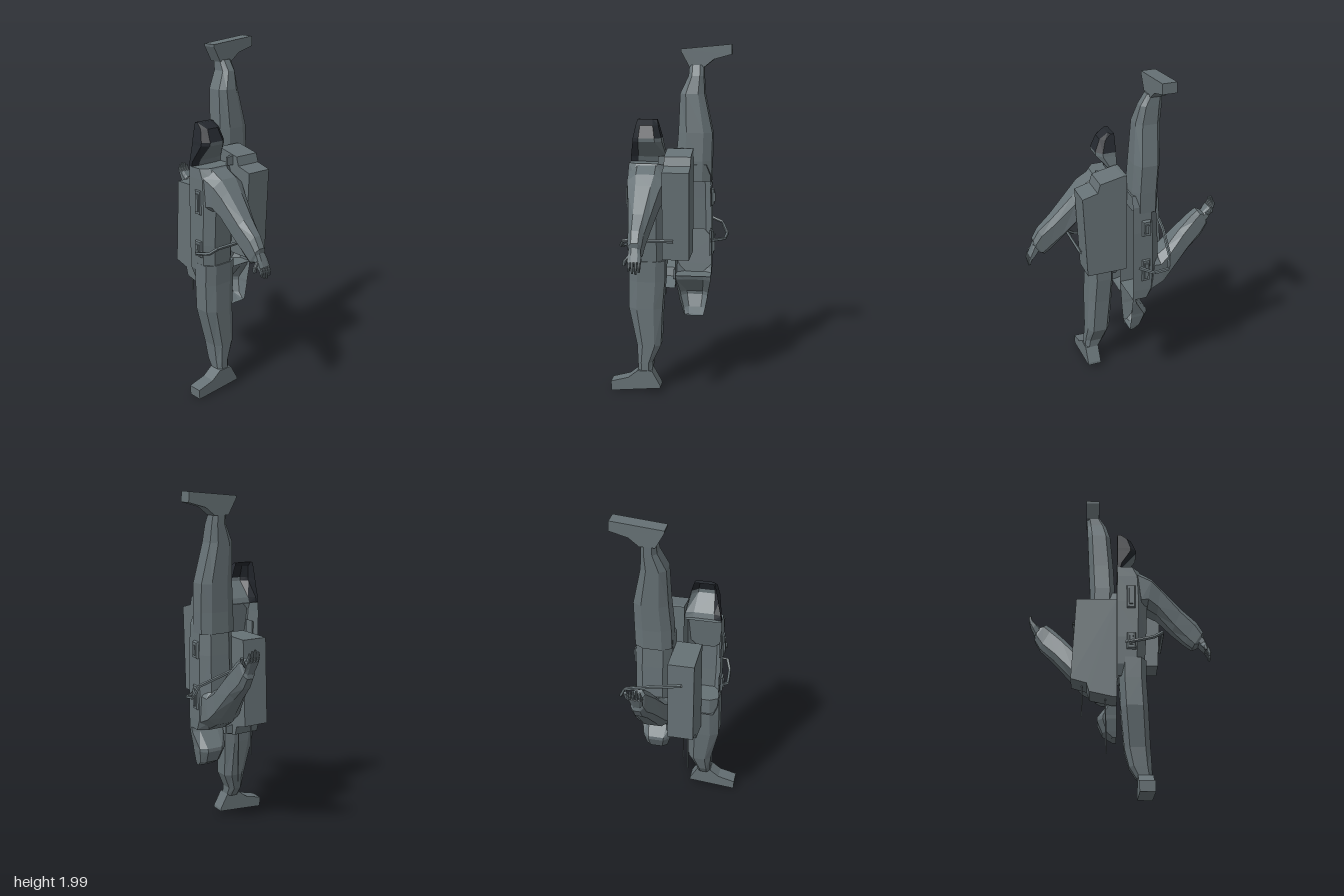
import * as THREE from 'three';

const suit = new THREE.MeshStandardMaterial({ color: 0x667175, flatShading: true, side: THREE.DoubleSide });
const dark = new THREE.MeshStandardMaterial({ color: 0x24282e, flatShading: true, side: THREE.DoubleSide });
const INSIDE = [0, 1.45, 0.12];

// Skin a list of matching rings; faces are turned outwards by their signed volume.
function loft(rings, { closed = true, caps = true } = {}) {
  const tris = [], n = rings[0].length, steps = closed ? n : n - 1;
  for (let i = 0; i + 1 < rings.length; i++) {
    for (let j = 0; j < steps; j++) {
      const k = (j + 1) % n, [a, b] = [rings[i], rings[i + 1]];
      tris.push([a[j], a[k], b[k]], [a[j], b[k], b[j]]);
    }
  }
  if (caps) {
    const first = rings[0], last = rings[rings.length - 1];
    for (let j = 1; j + 1 < n; j++) {
      tris.push([first[0], first[j + 1], first[j]], [last[0], last[j], last[j + 1]]);
    }
  }
  let volume = 0;
  for (const t of tris) {
    const [a, b, c] = t.map(p => new THREE.Vector3(p[0] - INSIDE[0], p[1] - INSIDE[1], p[2] - INSIDE[2]));
    volume += a.dot(b.cross(c));
  }
  if (volume < 0) tris.forEach(t => t.reverse());
  const g = new THREE.BufferGeometry();
  g.setAttribute('position', new THREE.Float32BufferAttribute(tris.flat(2), 3));
  g.computeVertexNormals();
  return g;
}

// Point reflection through the model's middle, keeping faces outward.
function invert(g) {
  const p = g.attributes.position;
  for (let i = 0; i < p.count; i++) p.setXYZ(i, -p.getX(i), 2 - p.getY(i), -p.getZ(i));
  for (let i = 0; i < p.count; i += 3) {
    const b = [p.getX(i + 1), p.getY(i + 1), p.getZ(i + 1)];
    p.setXYZ(i + 1, p.getX(i + 2), p.getY(i + 2), p.getZ(i + 2));
    p.setXYZ(i + 2, ...b);
  }
  g.computeVertexNormals();
  return g;
}

// Chamfered limb section between points A and B (x, y), from z0 to z1.
const OCT = [[0.2, 0], [0.8, 0], [1, 0.25], [1, 0.75], [0.8, 1], [0.2, 1], [0, 0.75], [0, 0.25]];
const limbRing = ([ax, ay, bx, by, z0, z1]) =>
  OCT.map(([s, t]) => [ax + (bx - ax) * s, ay + (by - ay) * s, z0 + (z1 - z0) * t]);

// Half body section, open at x = 0.
const halfRing = ([y, w, zb, zf]) => {
  const c = (zf - zb) * 0.22;
  return [[0, y, zb], [w * 0.7, y, zb], [w, y, zb + c], [w, y, zf - c], [w * 0.7, y, zf], [0, y, zf]];
};

const boxRings = (x0, x1, y0, y1, z0, z1, inset = 0) => [
  [[x0, y0, z0], [x1, y0, z0], [x1, y1, z0], [x0, y1, z0]],
  [[x0 + inset, y0 + inset, z1], [x1 - inset, y0 + inset, z1], [x1 - inset, y1 - inset, z1], [x0 + inset, y1 - inset, z1]],
];

function buildHalf(name, inverted) {
  const half = new THREE.Group();
  half.name = name;
  const add = (part, geometry, material = suit) => {
    const m = new THREE.Mesh(inverted ? invert(geometry) : geometry, material);
    m.name = part;
    half.add(m);
  };

  // torso, open along the cut plane
  add('torso', loft([
    [0.68, 0.06, 0.05, 0.2], [0.74, 0.15, 0.02, 0.225], [0.9, 0.16, 0.02, 0.232],
    [1.12, 0.17, 0.02, 0.234], [1.28, 0.16, 0.02, 0.234], [1.34, 0.12, 0.02, 0.232],
  ].map(halfRing), { closed: false }));

  // helmet: lower side and back, dark front and crown
  const helmet = [
    [1.34, 0.025, 0.02, 0.232], [1.37, 0.035, 0.025, 0.23], [1.46, 0.108, 0.045, 0.212],
    [1.48, 0.11, 0.048, 0.21], [1.55, 0.08, 0.068, 0.197], [1.58, 0.03, 0.078, 0.19],
  ].map(halfRing);
  const open = { closed: false, caps: false };
  const visor = inverted ? suit : dark;
  add('helmetSide', loft(helmet.slice(0, 4).map(r => r.slice(0, 4)), open));
  add('visor', loft(helmet.slice(0, 4).map(r => r.slice(3)), open), visor);
  add('helmetCrown', loft([...helmet.slice(3), helmet[5].map(p => [0, 1.58, p[2]])], open), visor);

  // leg from hip to ankle
  add('leg', loft([
    [0.012, 0.78, 0.16, 0.78, 0.02, 0.228], [0.01, 0.66, 0.16, 0.66, 0.022, 0.23],
    [0.018, 0.5, 0.168, 0.5, 0.035, 0.23], [0.038, 0.28, 0.178, 0.28, 0.042, 0.182],
    [0.062, 0.18, 0.183, 0.18, 0.088, 0.176], [0.1, 0.12, 0.185, 0.12, 0.09, 0.172],
  ].map(limbRing)));

  // boot
  const boot = [[0.04, 0.03], [0.33, 0.003], [0.333, 0.06], [0.23, 0.088], [0.175, 0.132], [0.09, 0.132], [0.042, 0.045]];
  add('boot', loft([0.108, 0.19].map(x => boot.map(([z, y]) => [x, y, z]))));

  // arm from shoulder to wrist
  add('arm', loft([
    [0.11, 1.34, 0.14, 1.08, 0.02, 0.23], [0.2, 1.29, 0.17, 1.1, 0.02, 0.225],
    [0.25, 1.235, 0.225, 1.065, 0.04, 0.212], [0.37, 1.1, 0.31, 0.965, 0.075, 0.192],
    [0.45, 1.025, 0.38, 0.895, 0.095, 0.18], [0.485, 0.965, 0.42, 0.865, 0.1, 0.175],
    [0.482, 0.925, 0.452, 0.88, 0.11, 0.165],
  ].map(limbRing)));

  // glove with four fingers and a thumb
  add('palm', loft([
    [0.485, 0.94, 0.45, 0.89, 0.105, 0.17], [0.502, 0.9, 0.475, 0.865, 0.1, 0.172],
    [0.515, 0.87, 0.49, 0.85, 0.1, 0.172],
  ].map(limbRing)));
  for (let i = 0; i < 4; i++) {
    const z = 0.101 + i * 0.018, drop = [0.012, 0, 0.004, 0.016][i];
    add('finger', loft([
      [0.515, 0.87, 0.492, 0.855, z, z + 0.016], [0.524, 0.84, 0.506, 0.832, z, z + 0.015],
      [0.521, 0.803 + drop, 0.509, 0.803 + drop, z + 0.003, z + 0.013],
    ].map(limbRing)));
  }
  add('thumb', loft([
    [0.49, 0.905, 0.465, 0.885, 0.15, 0.172], [0.498, 0.875, 0.475, 0.86, 0.178, 0.2],
    [0.5, 0.845, 0.486, 0.84, 0.187, 0.203],
  ].map(limbRing)));

  // backpack with a stepped top, open along the cut plane
  const pack = [[0, 0.815], [0.235, 0.815], [0.258, 1.31], [0.17, 1.335], [0.155, 1.385], [0.02, 1.415], [0, 1.415]];
  add('backpack', loft([-0.128, 0.022].map(z => pack.map(([x, y]) => [x, y, z])), { closed: false }));
  add('shoulderStrap', loft(boxRings(0.1, 0.13, 1.33, 1.39, 0, 0.06, 0.008)));

  // raised chest and waist units, each with a smaller plate
  for (const [y0, y1] of [[1.07, 1.225], [0.82, 0.93]]) {
    add('chestUnit', loft(boxRings(0.045, 0.108, y0, y1, 0.22, 0.243, 0.012)));
    add('chestPlate', loft(boxRings(0.064, 0.089, y0 + 0.025, y1 - 0.025, 0.235, 0.25, 0.003)));
  }
  return half;
}

// Angular rod through a list of points.
function rod(name, points, radius) {
  const path = new THREE.CurvePath();
  const v = points.map(p => new THREE.Vector3(...p));
  for (let i = 0; i + 1 < v.length; i++) path.add(new THREE.LineCurve3(v[i], v[i + 1]));
  const m = new THREE.Mesh(new THREE.TubeGeometry(path, 24, radius, 5), suit);
  m.name = name;
  return m;
}

export function createModel() {
  const model = new THREE.Group();
  model.name = 'splitSpacesuit';
  model.add(buildHalf('uprightHalf', false), buildHalf('invertedHalf', true));

  // control arms reaching round from each pack
  model.add(rod('controlArm', [[0.25, 0.925, -0.04], [0.25, 0.925, 0.24], [0.2, 0.885, 0.262], [0.1, 0.86, 0.268], [0.05, 0.87, 0.225]], 0.01));
  model.add(rod('controlArm', [[-0.25, 1.06, 0.06], [-0.235, 1.02, -0.1], [-0.2, 0.95, -0.285], [-0.185, 0.885, -0.315], [-0.1, 0.87, -0.305], [-0.04, 0.87, -0.225]], 0.01));

  // thin antennas below the inverted pack
  model.add(rod('antenna', [[-0.195, 0.7, 0.06], [-0.195, 0.49, 0.06]], 0.004));
  model.add(rod('antenna', [[-0.065, 0.62, 0.06], [-0.058, 0.28, 0.06]], 0.004));
  return model;
}
